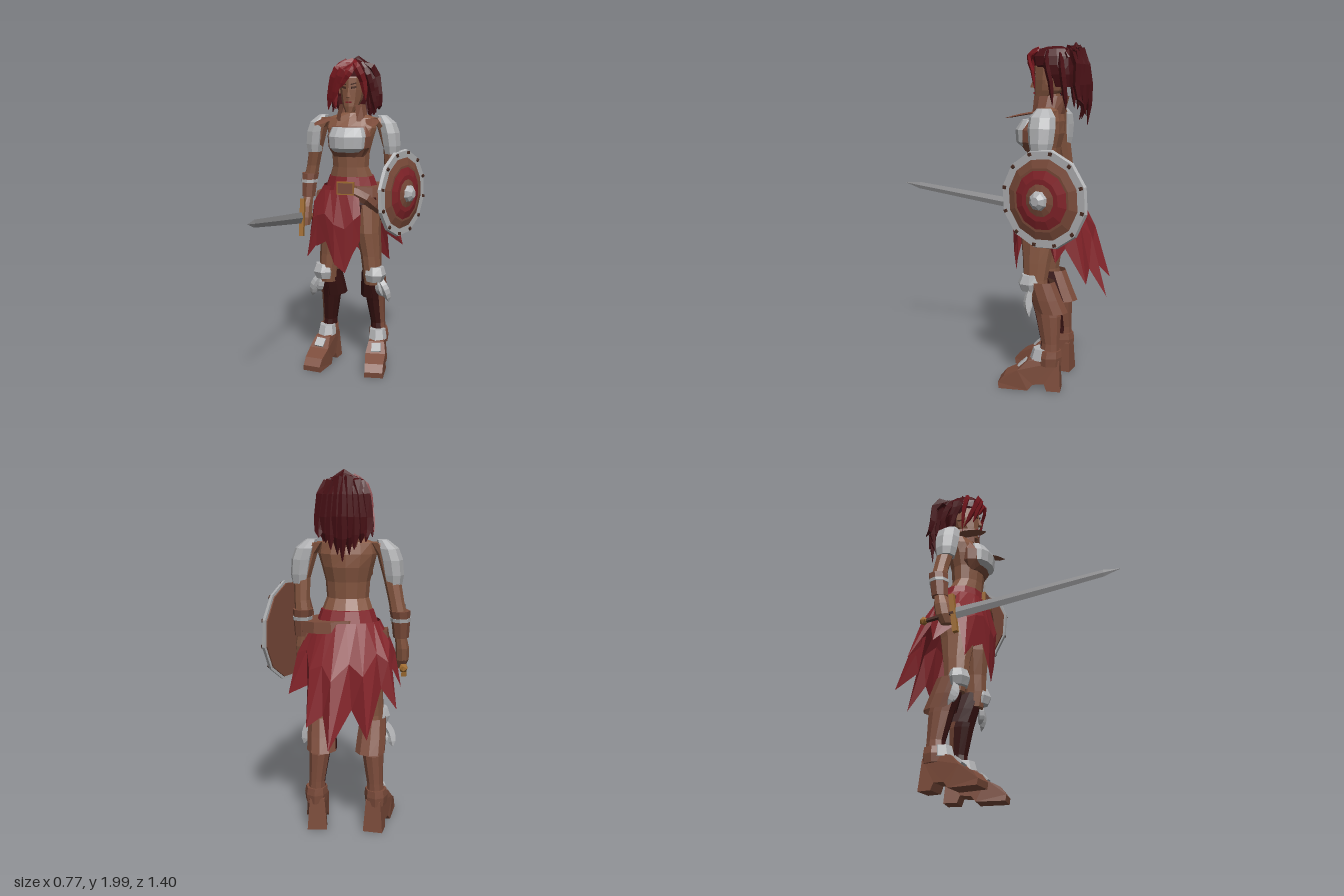
import * as THREE from 'three';

const paint = (name, color, side = THREE.FrontSide) => {
  const m = new THREE.MeshStandardMaterial({ color, side });
  m.name = name;
  return m;
};
const V = (a) => new THREE.Vector3(...a);

// Faceted normals
function flat(geo) {
  const g = geo.index ? geo.toNonIndexed() : geo;
  g.computeVertexNormals();
  return g;
}

// Skin over rings of points; pick(angle) gives a material slot, or -1 to leave a gap
function skin(rings, { caps = true, pick = () => 0, slots = 1 } = {}) {
  const n = rings[0].length, lists = Array.from({ length: slots }, () => []);
  for (let i = 0; i < rings.length - 1; i++) for (let j = 0; j < n; j++) {
    const slot = pick((j + 0.5) / n * Math.PI * 2), k = (j + 1) % n;
    if (slot < 0) continue;
    const [a, b, c, d] = [rings[i][j], rings[i][k], rings[i + 1][k], rings[i + 1][j]];
    lists[slot].push(a, b, c, a, c, d);
  }
  if (caps) [rings[0], rings.at(-1)].forEach((r, top) => {
    const c = r.reduce((s, p) => s.add(p), new THREE.Vector3()).divideScalar(n);
    r.forEach((p, j) => lists[0].push(c, ...(top ? [p, r[(j + 1) % n]] : [r[(j + 1) % n], p])));
  });
  const g = new THREE.BufferGeometry().setFromPoints(lists.flat());
  let start = 0;
  if (slots > 1) lists.forEach((l, i) => { g.addGroup(start, l.length, i); start += l.length; });
  return flat(g);
}

// Oval sections, lowest first: [y, centre x, half width, centre z, half depth]
function loft(rows, n = 10, options) {
  return skin(rows.map(([y, cx, hw, cz, hd]) => Array.from({ length: n }, (_, j) => {
    const a = j / n * Math.PI * 2;
    return new THREE.Vector3(cx + Math.sin(a) * hw, y, cz + Math.cos(a) * hd);
  })), options);
}

// Tapering lock or blade with a diamond section, along a curve
function strand(points, w, t, normal = [0, 0, 1], f = (u) => (0.65 + u) * Math.sqrt(1.002 - u), steps = 6) {
  const curve = new THREE.CatmullRomCurve3(points.map(V)), rings = [];
  for (let i = 0; i <= steps; i++) {
    const u = i / steps, p = curve.getPoint(u), T = curve.getTangent(u);
    const S = T.clone().cross(V(normal)).normalize(), U = S.clone().cross(T), k = Math.max(f(u), 0.03);
    rings.push([[S, w], [U, -t], [S, -w], [U, t]].map(([v, r]) => p.clone().addScaledVector(v, r * k)));
  }
  return skin(rings);
}

// Cloth between a top edge and a hem, bulging away from the body axis
function cloth(top, hem, bulge) {
  const cols = top.map((t, i) => {
    const a = V(t), c = V(hem[i]), b = a.clone().lerp(c, 0.45);
    const out = new THREE.Vector3(b.x, 0, b.z + 0.33).normalize();
    return [a, b.addScaledVector(out, bulge), c];
  });
  const pts = [];
  for (let i = 0; i < cols.length - 1; i++) for (let r = 0; r < 2; r++) {
    const [a, b, c, d] = [cols[i][r], cols[i][r + 1], cols[i + 1][r + 1], cols[i + 1][r]];
    pts.push(a, b, c, a, c, d);
  }
  return flat(new THREE.BufferGeometry().setFromPoints(pts));
}

export function createModel() {
  const D = THREE.DoubleSide;
  const M = {
    skin: paint('skin', 0x855640), leather: paint('leather', 0x7c4c3b, D), silver: paint('silver', 0xb2b3b5),
    red: paint('red cloth', 0x84242a, D), hair: paint('dark hair', 0x481015), fringe: paint('red hair', 0x7a181f),
    maroon: paint('maroon', 0x381312, D), gold: paint('gold', 0xa06c30), steel: paint('steel', 0x8a8a8c),
    dark: paint('dark brown', 0x4a2c22),
  };
  const model = new THREE.Group(), body = new THREE.Group();
  body.name = 'body';
  body.position.x = -0.035;
  model.add(body);
  const add = (name, geo, mat, pos = [0, 0, 0], rot = [0, 0, 0], parent = body) => {
    const m = new THREE.Mesh(geo, mat);
    m.name = name;
    m.position.set(...pos);
    m.rotation.set(...rot);
    parent.add(m);
    return m;
  };
  const box = (...s) => new THREE.BoxGeometry(...s);

  // Torso
  add('torso', loft([[1.1, 0, .165, -.335, .125], [1.22, 0, .148, -.325, .115], [1.31, 0, .115, -.3, .092],
    [1.4, 0, .122, -.3, .1], [1.48, 0, .142, -.305, .115], [1.55, 0, .16, -.32, .1], [1.61, 0, .15, -.335, .07],
    [1.64, 0, .06, -.34, .055]], 12), M.skin);
  add('neck', loft([[1.6, 0, .055, -.345, .055], [1.74, 0, .043, -.335, .05]], 8), M.skin);
  add('bodice', loft([[1.375, 0, .1, -.255, .06], [1.43, 0, .132, -.255, .1], [1.5, 0, .138, -.255, .1], [1.56, 0, .12, -.28, .06]], 12), M.leather);
  add('chestPlate', loft([[1.405, 0, .085, -.22, .055], [1.43, 0, .115, -.215, .075], [1.5, 0, .12, -.21, .075], [1.555, 0, .1, -.225, .05]], 12), M.silver);
  add('collar', loft([[1.59, 0, .105, -.325, .095], [1.69, 0, .08, -.34, .105]], 12,
    { caps: false, pick: (a) => (Math.cos(a) > .9 ? -1 : 0) }), M.leather);

  // Hips, belt and cloth
  add('shorts', loft([[.97, 0, .19, -.325, .125], [1.08, 0, .19, -.33, .135], [1.17, 0, .165, -.33, .125]], 12), M.maroon);
  add('sash', loft([[1.16, 0, .175, -.33, .14], [1.25, 0, .143, -.325, .117]], 12), M.red);
  add('belt', loft([[1.14, 0, .195, -.33, .155], [1.2, 0, .185, -.33, .148]], 12), M.leather, [0, 0, 0], [0, 0, -.06]);
  add('buckleFrame', box(.11, .08, .02), M.gold, [0, 1.185, -.175]);
  add('buckle', box(.095, .065, .03), M.leather, [0, 1.185, -.175]);
  add('hangingBelt', strand([[.02, 1.17, -.18], [.13, 1.12, -.19], [.2, 1.04, -.27], [.21, 1.02, -.35]], .035, .015, [0, 0, 1], () => 1), M.leather);
  for (const s of [-1, 1]) add('pouch', box(.07, .12, .1), M.leather, [s * .195, 1.08, -.34], [0, 0, s * .15]);
  add('frontCloth', cloth([[-.14, 1.17, -.2], [-.1, 1.17, -.185], [-.05, 1.17, -.175], [.005, 1.17, -.17], [.05, 1.17, -.175], [.08, 1.17, -.185]],
    [[-.19, .81, -.18], [-.12, .85, -.15], [-.06, .71, -.13], [.005, .655, -.14], [.055, .78, -.14], [.095, .86, -.17]], .03), M.red);
  const hem = [[-.19, .82, -.18], [-.26, .73, -.2], [-.24, .95, -.25], [-.3, .83, -.38], [-.25, .95, -.42], [-.285, .75, -.54],
    [-.2, .85, -.5], [-.14, .62, -.68], [-.05, .75, -.58], [.06, .555, -.695], [.1, .72, -.6], [.19, .65, -.6],
    [.2, .85, -.48], [.31, .79, -.45], [.23, .97, -.36]];
  add('backSkirt', cloth(hem.map((_, i) => {
    const a = -.6 - i * .31;
    return [Math.sin(a) * .18, 1.19, -.33 + Math.cos(a) * .145];
  }), hem, .03), M.red);

  // Head and face
  add('head', loft([[1.645, 0, .026, -.275, .03], [1.68, 0, .048, -.3, .06], [1.72, 0, .063, -.325, .085], [1.78, 0, .074, -.335, .098],
    [1.85, 0, .077, -.34, .102], [1.92, 0, .06, -.345, .085], [1.95, 0, .03, -.345, .045]]), M.skin);
  add('nose', flat(new THREE.ConeGeometry(.017, .07, 4)), M.skin, [0, 1.77, -.236], [-.15, 0, 0]);
  add('mouth', box(.036, .01, .009), M.fringe, [0, 1.705, -.245]);
  for (const s of [-1, 1]) {
    add('eye', box(.032, .012, .009), M.dark, [s * .031, 1.795, -.248], [0, s * .62, s * .15]);
    add('brow', box(.036, .007, .009), M.dark, [s * .031, 1.817, -.247], [0, s * .62, s * .25]);
    add('ear', box(.015, .05, .03), M.skin, [s * .077, 1.78, -.34]);
  }

  // Hair
  add('hairCap', loft([[1.74, 0, .06, -.4, .06], [1.81, 0, .085, -.385, .085], [1.86, 0, .092, -.355, .115], [1.91, 0, .085, -.35, .12],
    [1.95, 0, .055, -.35, .09], [1.965, 0, .02, -.36, .04]]), M.hair);
  const locks = [
    [[.03, 1.95, -.27], [-.06, 1.9, -.215], [-.1, 1.8, -.235], [-.14, 1.66, -.28], .036],
    [[.02, 1.94, -.26], [-.03, 1.9, -.21], [-.065, 1.82, -.22], [-.095, 1.71, -.24], .032],
    [[.03, 1.94, -.26], [.01, 1.89, -.213], [-.02, 1.85, -.215], [-.05, 1.79, -.22], .03],
    [[.02, 1.95, -.27], [.06, 1.91, -.22], [.09, 1.83, -.25], [.1, 1.72, -.27], .03],
    [[-.02, 1.95, -.3], [-.085, 1.9, -.29], [-.11, 1.8, -.3], [-.1, 1.66, -.31], .035]];
  locks.forEach(([a, b, c, d, w]) => add('fringeLock', strand([a, b, c, d], w, .014), M.fringe));
  for (const s of [-1, 1]) {
    add('sideLock', strand([[s * .05, 1.94, -.33], [s * .095, 1.87, -.33], [s * .115, 1.77, -.36], [s * .14, 1.64, -.38]], .03, .02), M.hair);
    add('sideLock', strand([[s * .05, 1.92, -.4], [s * .1, 1.84, -.42], [s * .12, 1.74, -.44], [s * .11, 1.62, -.45]], .035, .022), M.hair);
  }
  for (let i = -4; i <= 4; i++) {
    const q = Math.abs(i), lift = 1.98 - q * .012;
    add('ponytailLock', strand([[i * .006, 1.9, -.42], [i * .016, lift, -.46 - (i & 1) * .025], [i * .027, 1.86, -.54 + q * .008],
      [i * .031, 1.7, -.56 + q * .012], [i * .03, 1.53 + q * .03, -.55 + (i & 1) * .04]], .038, .026), M.hair);
  }
  add('ponytailCore', strand([[0, 1.88, -.42], [0, 1.95, -.47], [0, 1.82, -.51], [0, 1.6, -.52]], .075, .05), M.hair);

  for (const s of [-1, 1]) {
    const side = new THREE.Group();
    side.name = s > 0 ? 'leftLimbs' : 'rightLimbs';
    body.add(side);
    const put = (name, geo, mat, pos, rot) => add(name, geo, mat, pos, rot, side);
    const sl = (rows, n, o) => loft(rows.map(([y, c, ...r]) => [y, c * s, ...r]), n, o);
    const split = { slots: 2, pick: (a) => (Math.sin(a) * s < .35 && Math.cos(a) > -.45 ? 1 : 0) };
    const two = [M.leather, M.maroon];

    // Arms: the shield arm sits closer to the body
    const k = s > 0 ? .05 : 0;
    put('arm', sl([[1.1, .29 - k, .033, -.35, .04], [1.22, .285 - k, .045, -.37, .05], [1.3, .268 - k / 2, .042, -.365, .047],
      [1.42, .243, .046, -.35, .052], [1.55, .215, .055, -.34, .06], [1.61, .17, .045, -.34, .05]], 8), M.skin);
    put('bracer', sl([[1.1, .295 - k, .043, -.35, .05], [1.19, .293 - k, .05, -.36, .057], [1.25, .288 - k, .056, -.37, .062]], 8), M.leather);
    put('bracerBand', sl([[1.19, .293 - k, .054, -.36, .06], [1.21, .292 - k, .056, -.363, .062]], 8), M.silver);
    put('hand', sl([[.92, .295 - k, .022, -.3, .035], [.97, .302 - k, .036, -.315, .052], [1.04, .302 - k, .037, -.33, .052],
      [1.12, .292 - k, .03, -.35, .036]], 8), M.skin);
    put('pauldron', sl([[1.39, .252, .046, -.345, .058], [1.44, .25, .056, -.345, .07], [1.52, .24, .06, -.345, .078],
      [1.58, .222, .056, -.345, .073], [1.625, .19, .03, -.345, .04]], 8), M.silver);
    put('lapel', strand([[s * .12, 1.61, -.35], [s * .15, 1.595, -.24], [s * .175, 1.57, -.12]], .05, .008, [0, 1, 0]), M.leather);

    // Legs
    put('thigh', sl([[.56, .145, .055, -.305, .065], [.65, .143, .06, -.295, .072], [.75, .135, .065, -.3, .082],
      [.9, .115, .078, -.305, .107], [1.08, .1, .09, -.335, .125]]), M.skin);
    put('bootShaft', sl([[.18, .168, .052, -.39, .06], [.28, .163, .046, -.393, .055], [.44, .15, .06, -.375, .076], [.6, .145, .064, -.33, .078]], 10, split), two);
    put('bootCuff', sl([[.46, .135, .085, -.39, .098], [.54, .14, .082, -.36, .092], [.64, .145, .074, -.325, .085]], 10, { ...split, caps: false }), two);
    put('kneePlate', sl([[.585, .165, .055, -.27, .055], [.63, .17, .07, -.265, .066], [.68, .165, .06, -.27, .05]], 7), M.silver);
    for (const [dx, y] of [[0, .45], [-.035, .48]])
      put('kneeSpike', strand([[s * .19, .6, -.28], [s * (.235 + dx), .53, -.27], [s * (.255 + dx), y, -.29]], .035, .025), M.silver);
    put('ankleCuff', sl([[.15, .17, .06, -.385, .075], [.2, .17, .066, -.385, .08], [.24, .168, .06, -.39, .07]], 8), M.leather);
    put('anklePlate', sl([[.18, .172, .062, -.335, .06], [.245, .17, .052, -.345, .05]], 7), M.silver);

    // Boot: side profile across the foot, narrowed at heel and top
    const foot = new THREE.Shape([[-.46, 0], [-.38, 0], [-.365, .04], [-.3, .035], [-.27, 0], [-.1, 0], [-.095, .035], [-.13, .08],
      [-.21, .12], [-.27, .18], [-.36, .2], [-.45, .18]].map(([z, y]) => new THREE.Vector2(-z, y)));
    const fg = new THREE.ExtrudeGeometry(foot, { depth: .13, bevelEnabled: false }).translate(0, 0, -.065).rotateY(Math.PI / 2);
    const p = fg.attributes.position;
    for (let i = 0; i < p.count; i++) {
      const toe = Math.max(0, 1 - Math.abs(p.getZ(i) + .2) / .13);
      p.setX(i, p.getX(i) * (.85 + .3 * toe - p.getY(i) * 1.2));
      p.setZ(i, p.getZ(i) + .39);
    }
    put('boot', flat(fg), M.leather, [s * .165, 0, -.39], [0, s * .13, 0]);
    put('instepPlate', box(.06, .012, .06), M.silver, [s * .188, .152, -.235], [.75, s * .13, 0]);
  }

  // Sword
  add('blade', strand([[-.31, .972, -.25], [-.295, 1.04, .225], [-.28, 1.11, .705]], .036, .011, [1, 0, 0],
    (u) => (u > .9 ? (1 - u) * 5.5 : 1 - u * .45), 20), M.steel);
  add('crossguard', box(.028, .24, .03), M.gold, [-.31, .975, -.255], [-.14, 0, 0]);
  add('grip', flat(new THREE.CylinderGeometry(.015, .015, .18, 6)), M.dark, [-.312, .962, -.34], [1.43, 0, 0]);
  add('pommel', flat(new THREE.IcosahedronGeometry(.026)), M.gold, [-.314, .95, -.435]);

  // Shield: stacked twelve-sided bands facing its left side
  const shield = new THREE.Group();
  shield.name = 'shield';
  shield.position.set(.274, 1.14, -.38);
  shield.quaternion.setFromUnitVectors(new THREE.Vector3(0, 1, 0), new THREE.Vector3(.945, 0, .327).normalize());
  model.add(shield);
  [['shieldBack', -.012, .262, -.004, .262, M.leather], ['shieldRim', -.005, .278, .014, .272, M.silver],
    ['outerBand', .01, .24, .028, .18, M.leather], ['redBand', .022, .187, .042, .118, M.red],
    ['innerBand', .034, .122, .052, .05, M.leather]].forEach(([name, y0, r0, y1, r1, mat]) =>
    add(name, loft([[y0, 0, r0, 0, r0], [y1, 0, r1, 0, r1]], 12), mat, undefined, undefined, shield));
  add('boss', loft([[.035, 0, .06, 0, .06], [.07, 0, .05, 0, .05], [.09, 0, .025, 0, .025]], 8), M.silver, undefined, undefined, shield);
  for (let i = 0; i < 12; i++) {
    const a = i * Math.PI / 6;
    add('rivet', box(.018, .02, .018), M.dark, [Math.sin(a) * .256, .014, Math.cos(a) * .256], [0, a, 0], shield);
  }
  return model;
}
